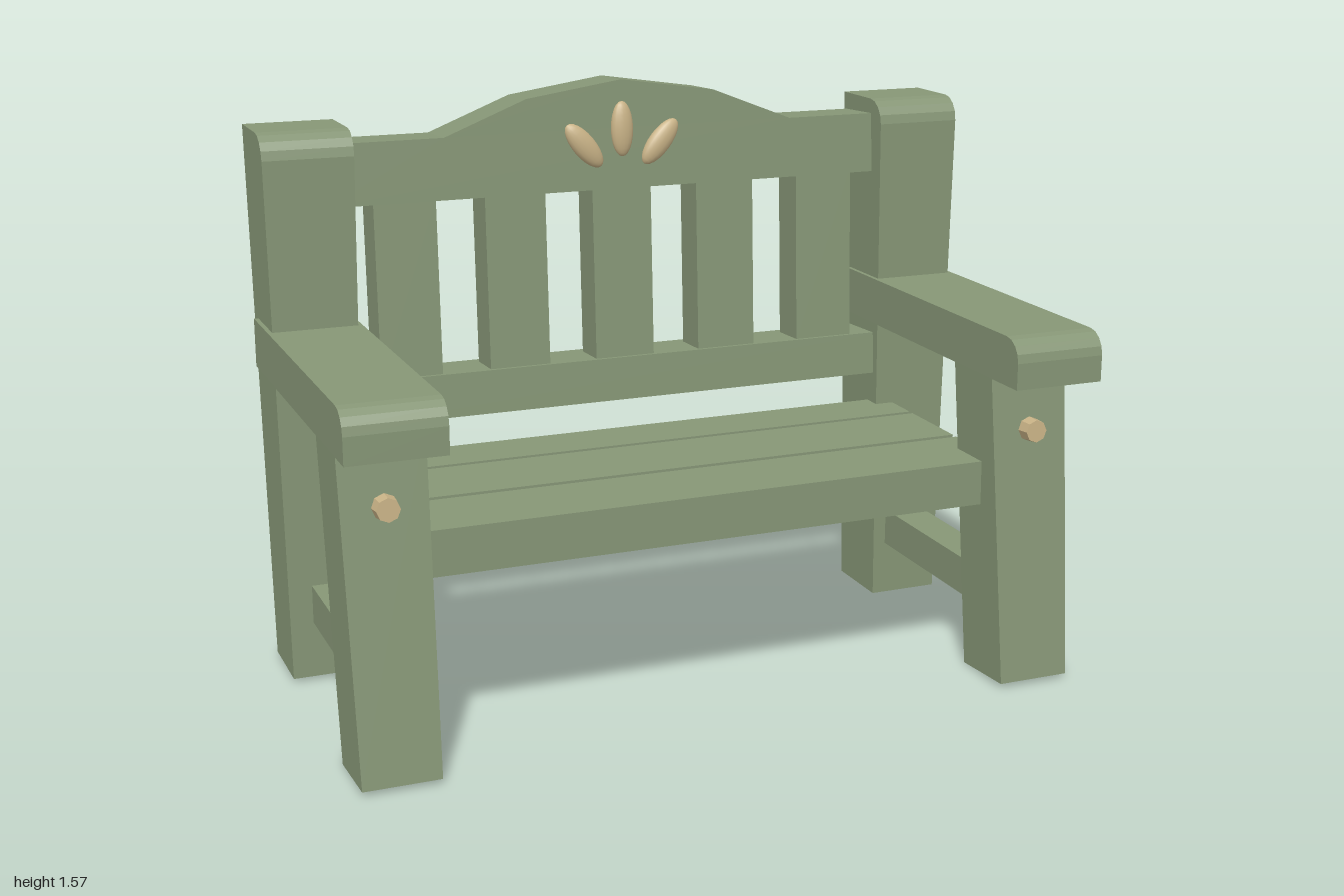
import * as THREE from 'three';

export function createModel() {
  const bench = new THREE.Group();
  bench.name = 'gardenBench';
  const paint = new THREE.MeshStandardMaterial({ color: 0x869676 });
  paint.name = 'sage green paint';
  const wood = new THREE.MeshStandardMaterial({ color: 0xc8b286 });
  wood.name = 'pale wood';

  const add = (parent, name, geometry, material = paint) => {
    const mesh = new THREE.Mesh(geometry, material);
    mesh.name = name;
    parent.add(mesh);
    return mesh;
  };

  const box = (parent, name, x0, x1, y0, y1, z0, z1) =>
    add(parent, name, new THREE.BoxGeometry(x1 - x0, y1 - y0, z1 - z0))
      .position.set((x0 + x1) / 2, (y0 + y1) / 2, (z0 + z1) / 2);

  // Side profile of [z, y] points, as wide as the half width given for each height
  const beam = (points, halfWidth) => {
    const shape = new THREE.Shape(points.map(([z, y]) => new THREE.Vector2(z, y)));
    const geo = new THREE.ExtrudeGeometry(shape, { depth: 2, bevelEnabled: false });
    geo.translate(0, 0, -1).rotateY(-Math.PI / 2);
    const p = geo.attributes.position;
    for (let i = 0; i < p.count; i++) p.setX(i, p.getX(i) * halfWidth(p.getY(i)));
    geo.computeVertexNormals();
    return geo;
  };

  // Rounded upper front corner ending at (z, y)
  const corner = (z, y, r, steps = 4) =>
    Array.from({ length: steps + 1 }, (_, i) => {
      const a = (i / steps) * Math.PI / 2;
      return [z - r + r * Math.cos(a), y - r + r * Math.sin(a)];
    });

  // Posts, legs, armrests, stretchers and pegs on both sides
  for (const [label, s] of [['left', 1], ['right', -1]]) {
    const side = new THREE.Group();
    side.name = label + 'Side';
    side.position.x = s * 0.875;
    bench.add(side);

    add(side, 'backPost', beam(
      [[-0.5, 0.01], [-0.29, 0.01], ...corner(-0.28, 1.485, 0.065), [-0.51, 1.485]],
      y => 0.1 + 0.02 * y / 1.485));
    add(side, 'frontLeg', beam(
      [[0.262, 0], [0.46, 0.013], [0.36, 0.88], [0.165, 0.88]],
      y => 0.1 + 0.011 * y / 0.88));
    add(side, 'armrest', beam(
      [[-0.46, 0.845], [0.515, 0.845], ...corner(0.515, 0.975, 0.06), [-0.46, 0.975]],
      () => 0.125));

    const inner = s * -0.065, outer = s * 0.04;
    box(side, 'stretcher', Math.min(inner, outer), Math.max(inner, outer), 0.165, 0.27, -0.32, 0.3);

    const peg = add(side, 'peg', new THREE.CylinderGeometry(0.03, 0.035, 0.06, 8).toNonIndexed(), wood);
    peg.geometry.computeVertexNormals();
    peg.rotation.x = Math.PI / 2 - 0.06;
    peg.position.set(0, 0.695, 0.388);
  }

  // Seat boards
  for (const [z0, z1] of [[0.095, 0.325], [-0.16, 0.075], [-0.34, -0.178]]) {
    box(bench, 'seatBoard', -0.82, 0.82, 0.48, 0.6, z0, z1);
  }

  // Backrest leans back slightly; its own z = 0 is the front face
  const back = new THREE.Group();
  back.name = 'backrest';
  back.position.set(0, 0.69, -0.307);
  back.rotation.x = -0.045;
  bench.add(back);

  box(back, 'lowerRail', -0.82, 0.82, 0, 0.12, -0.155, 0);

  // Crested top rail
  const crest = new THREE.Shape([
    [-0.82, 0.59], [0.82, 0.59], [0.82, 0.755], [0.5, 0.755], [0.27, 0.845],
    [0, 0.885], [-0.27, 0.845], [-0.5, 0.755], [-0.82, 0.755],
  ].map(([x, y]) => new THREE.Vector2(x, y)));
  add(back, 'topRail', new THREE.ExtrudeGeometry(crest, { depth: 0.155, bevelEnabled: false }))
    .position.z = -0.155;

  // Upright slats
  for (let i = -2; i <= 2; i++) {
    const x = i * 0.305;
    box(back, 'backSlat', x - 0.085, x + 0.085, 0.11, 0.6, -0.125, -0.012);
  }

  // Three carved petals
  for (let i = -1; i <= 1; i++) {
    const petal = add(back, 'petal', new THREE.SphereGeometry(1, 16, 12), wood);
    petal.scale.set(0.032, 0.075, 0.02);
    petal.position.set(i * 0.11, i ? 0.712 : 0.752, 0);
    petal.rotation.z = -i * 0.7;
  }

  return bench;
}
